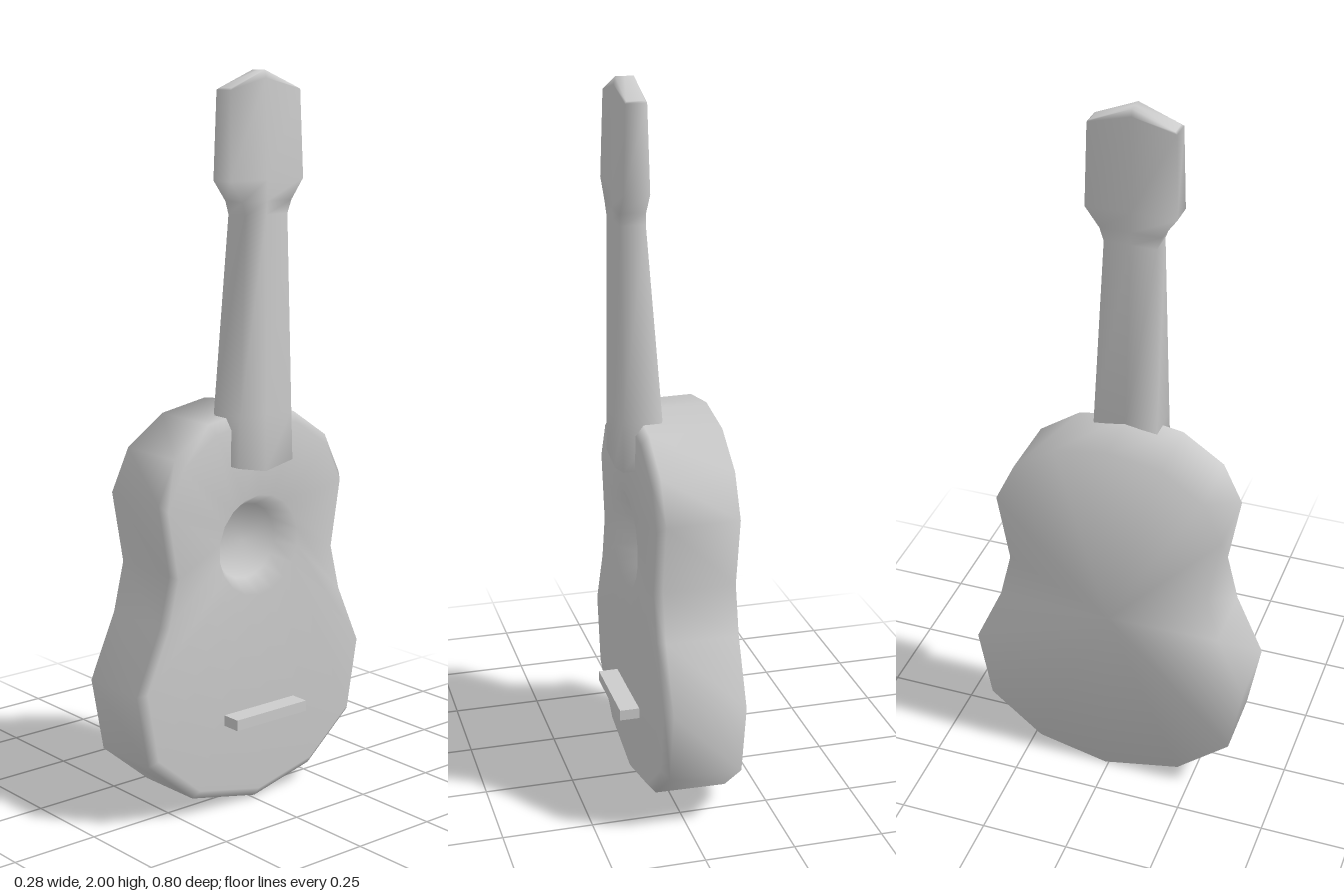
import * as THREE from 'three';
import { mergeVertices } from 'three/addons/utils/BufferGeometryUtils.js';

// Smooth skin over equal-length closed rings of [x, y, z] points
function loft(rings) {
  const n = rings[0].length, index = [];
  for (let i = 0; i < rings.length - 1; i++) {
    for (let j = 0; j < n; j++) {
      const k = (j + 1) % n;
      const a = i * n + j, b = i * n + k, c = b + n, d = a + n;
      index.push(a, b, c, a, c, d);
    }
  }
  let g = new THREE.BufferGeometry();
  g.setAttribute('position', new THREE.Float32BufferAttribute(rings.flat(2), 3));
  g.setIndex(index);
  g = mergeVertices(g, 1e-4);
  g.computeVertexNormals();
  return g;
}

export function createModel() {
  const model = new THREE.Group();
  model.name = 'guitar';
  const grey = new THREE.MeshStandardMaterial({ color: 0xcccccc });
  grey.name = 'light grey';
  const add = (name, geometry) => {
    const mesh = new THREE.Mesh(geometry, grey);
    mesh.name = name;
    model.add(mesh);
    return mesh;
  };

  // Body outline as [z, y], one half mirrored to the other
  const half = [[0.15, 1.085], [0.267, 1.005], [0.322, 0.89], [0.288, 0.693], [0.321, 0.557],
    [0.4, 0.38], [0.363, 0.175], [0.213, 0.048]];
  const outline = [[0, 1.11], ...half, [-0.01, 0], ...half.map(([z, y]) => [-z, y]).reverse()];
  const count = outline.length;
  const contour = (x, s) => outline.map(([z, y]) => [x, 0.55 + (y - 0.55) * s, z * s]);
  const circle = (x, r) => outline.map((_, j) => {
    const t = (j / count) * Math.PI * 2;
    return [x, 0.735 + r * Math.cos(t), r * Math.sin(t)];
  });

  // Body: flat back, straight sides, bevelled front edge, bowl-shaped sound hole
  add('body', loft([
    outline.map(() => [-0.14, 0.55, 0]),
    contour(-0.14, 1),
    contour(0.06, 0.995),
    contour(0.082, 0.945),
    circle(0.09, 0.14),
    circle(0.03, 0.105),
    circle(0.02, 0),
  ]));

  // Neck and head: six-sided sections [y, centre y, back x, front x, half width]
  const sections = [
    [0.965, 0.945, 0.06, 0.117, 0.095],
    [1.1, 1.1, 0.008, 0.117, 0.09],
    [1.63, 1.63, 0.048, 0.117, 0.072],
    [1.665, 1.665, 0.05, 0.119, 0.084],
    [1.72, 1.72, 0.05, 0.12, 0.124],
    [1.95, 1.98, 0.056, 0.113, 0.118],
    [1.955, 2.0, 0.06, 0.108, 0.112],
  ];
  const rings = sections.map(([y, yc, xb, xf, w]) => [
    [xf, y, w], [xf, yc, 0], [xf, y, -w], [xb, y, -w], [xb, yc, 0], [xb, y, w],
  ]);
  const cap = (y, x) => Array.from({ length: 6 }, () => [x, y, 0]);
  add('neckAndHead', loft([cap(0.945, 0.09), ...rings, cap(2, 0.084)]));

  // Bridge bar on the front
  add('bridge', new THREE.BoxGeometry(0.06, 0.03, 0.25)).position.set(0.11, 0.26, -0.006);

  return model;
}
